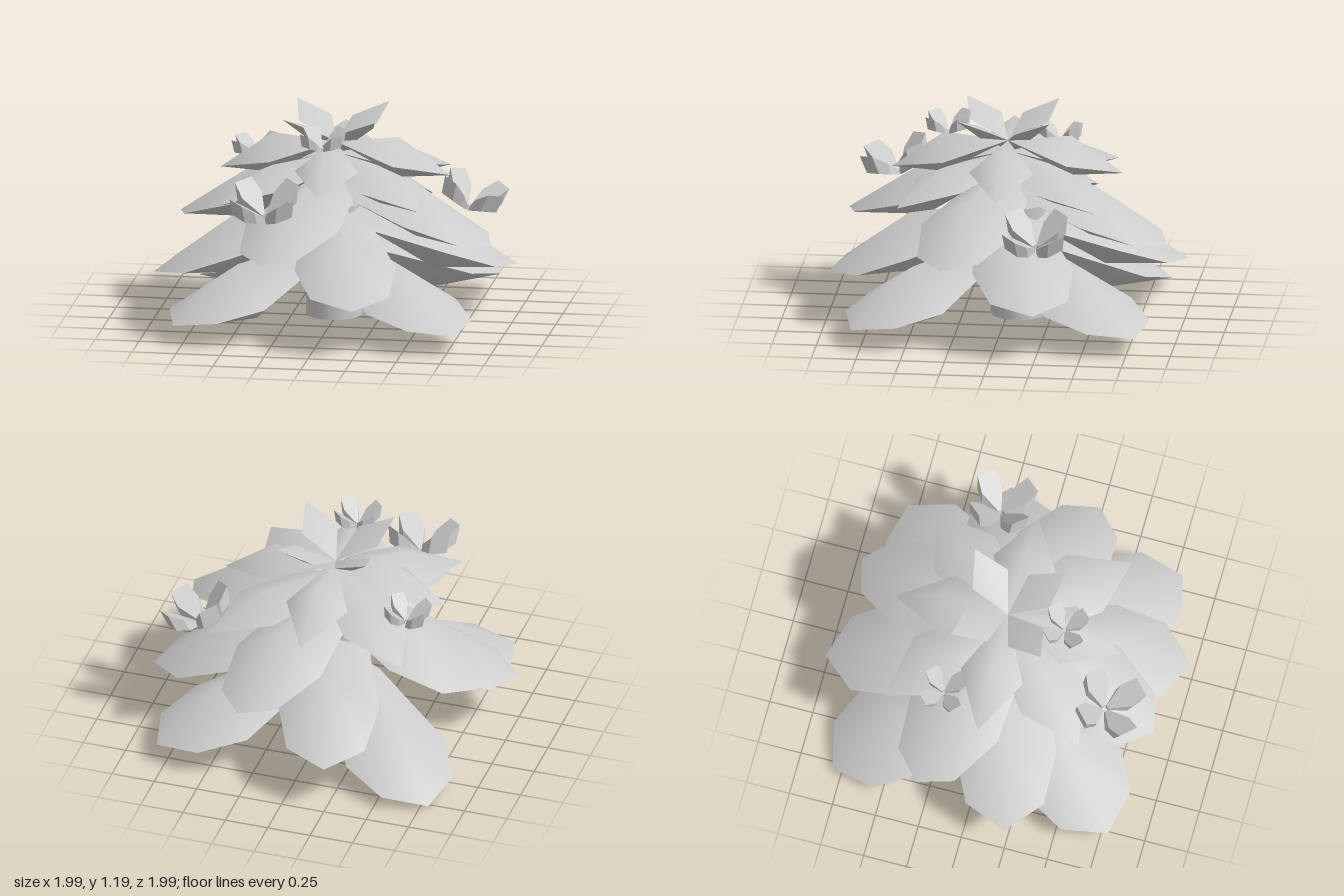
import * as THREE from 'three';

const material = new THREE.MeshStandardMaterial({ color: 0xcccccc, side: THREE.DoubleSide });

// Leaf growing along +z: half outline [x, y, z] from base to tip,
// with a raised ridge point above and a keel point below.
function leafGeometry(half, ridge, keel) {
  const mirrored = half.slice(1, -1).reverse().map(([x, y, z]) => [-x, y, z]);
  const outline = [...half, ...mirrored];
  const n = outline.length;
  const points = [...outline, ridge, ...outline, keel];
  const index = [];
  for (let i = 0; i < n; i++) {
    const j = (i + 1) % n;
    index.push(n, j, i);
    index.push(2 * n + 1, n + 1 + i, n + 1 + j);
  }
  const geometry = new THREE.BufferGeometry();
  geometry.setAttribute('position', new THREE.Float32BufferAttribute(points.flat(), 3));
  geometry.setIndex(index);
  geometry.computeVertexNormals();
  return geometry;
}

// Four leaves a quarter turn apart; angle in degrees from +z toward +x
const layers = [
  {
    name: 'bottomLeaves', angle: 45,
    half: [[0, 0.48, 0], [0.16, 0.38, 0.2], [0.31, 0.2, 0.72], [0.225, 0.145, 0.99], [0, 0.11, 1.13]],
    ridge: [0, 0.4, 0.68], keel: [0, 0.07, 0.55],
  },
  {
    name: 'lowerLeaves', angle: 14,
    half: [[0, 0.66, 0], [0.2, 0.54, 0.18], [0.285, 0.42, 0.6], [0.22, 0.32, 0.88], [0, 0.28, 1.025]],
    ridge: [0, 0.61, 0.56], keel: [0, 0.27, 0.55],
  },
  {
    name: 'middleLeaves', angle: -17,
    half: [[0, 0.86, 0], [0.2, 0.74, 0.18], [0.285, 0.64, 0.56], [0.185, 0.54, 0.86], [0, 0.51, 0.97]],
    ridge: [0, 0.81, 0.53], keel: [0, 0.52, 0.5],
  },
  {
    name: 'upperDiagonalLeaves', angle: 45,
    half: [[0, 0.95, 0], [0.15, 0.89, 0.18], [0.2, 0.84, 0.495], [0, 0.76, 0.8]],
    ridge: [0, 0.94, 0.44], keel: [0, 0.74, 0.42],
  },
  {
    name: 'upperLeaves', angle: 0,
    half: [[0, 1.01, 0], [0.18, 0.92, 0.35], [0, 0.84, 0.655]],
    ridge: [0, 1.05, 0.36], keel: [0, 0.82, 0.36],
  },
  {
    name: 'crownLeaves', angle: 45,
    half: [[0, 1.01, 0], [0.115, 1.11, 0.2], [0, 1.19, 0.37]],
    ridge: [0, 1.13, 0.2], keel: [0, 1.06, 0.2],
  },
];

// Four wedge-shaped petals that thicken outward, forming a cup of the given radius
function createFlower(radius) {
  const flower = new THREE.Group();
  const shape = new THREE.Shape(
    [[-0.06, 0.08], [0.06, 0.08], [0.38, 0.6], [0.32, 1], [-0.32, 1], [-0.38, 0.6]]
      .map(([x, y]) => new THREE.Vector2(x, y)));
  const geometry = new THREE.ExtrudeGeometry(shape, { depth: 1, bevelEnabled: false });
  const position = geometry.attributes.position;
  for (let i = 0; i < position.count; i++) {
    const out = position.getY(i), top = position.getZ(i);
    // Slope both faces up, with a slight outward flare at the rim
    const height = 0.4 * out + top * (0.1 + 0.5 * out);
    position.setXYZ(i, position.getX(i), out * (1 + 0.1 * top), height);
  }
  geometry.rotateX(-Math.PI / 2);
  geometry.scale(radius, radius, radius);
  geometry.computeVertexNormals();
  for (let i = 0; i < 4; i++) {
    const petal = new THREE.Mesh(geometry, material);
    petal.name = 'petal';
    petal.rotation.y = Math.PI / 4 + i * Math.PI / 2;
    flower.add(petal);
  }
  return flower;
}

// Position, radius and tilt (about x, about z)
const flowers = [
  { name: 'topFlower', at: [-0.02, 1.03, 0.335], radius: 0.12, tilt: [0.05, 0] },
  { name: 'frontFlower', at: [-0.3, 0.7, 0.64], radius: 0.18, tilt: [0.25, 0] },
  { name: 'leftFlower', at: [0.71, 0.58, -0.235], radius: 0.175, tilt: [0, -0.32] },
  { name: 'backFlower', at: [-0.49, 0.84, -0.24], radius: 0.12, tilt: [0, 0.1] },
];

export function createModel() {
  const model = new THREE.Group();
  model.name = 'floweringPlant';

  // Stem
  const stem = new THREE.Mesh(new THREE.CylinderGeometry(0.16, 0.16, 0.65, 24), material);
  stem.name = 'stem';
  stem.position.set(-0.02, 0.325, -0.06);
  model.add(stem);

  // Leaf layers
  for (const { name, angle, half, ridge, keel } of layers) {
    const layer = new THREE.Group();
    layer.name = name;
    const geometry = leafGeometry(half, ridge, keel);
    for (let i = 0; i < 4; i++) {
      const leaf = new THREE.Mesh(geometry, material);
      leaf.name = 'leaf';
      leaf.rotation.order = 'YXZ';
      leaf.rotation.y = THREE.MathUtils.degToRad(angle + i * 90);
      // One bottom leaf droops a little lower
      if (name === 'bottomLeaves' && i === 2) leaf.rotation.x = 0.075;
      layer.add(leaf);
    }
    model.add(layer);
  }

  // Flowers
  for (const { name, at, radius, tilt } of flowers) {
    const flower = createFlower(radius);
    flower.name = name;
    flower.position.set(...at);
    flower.rotation.set(tilt[0], 0, tilt[1]);
    model.add(flower);
  }
  return model;
}
